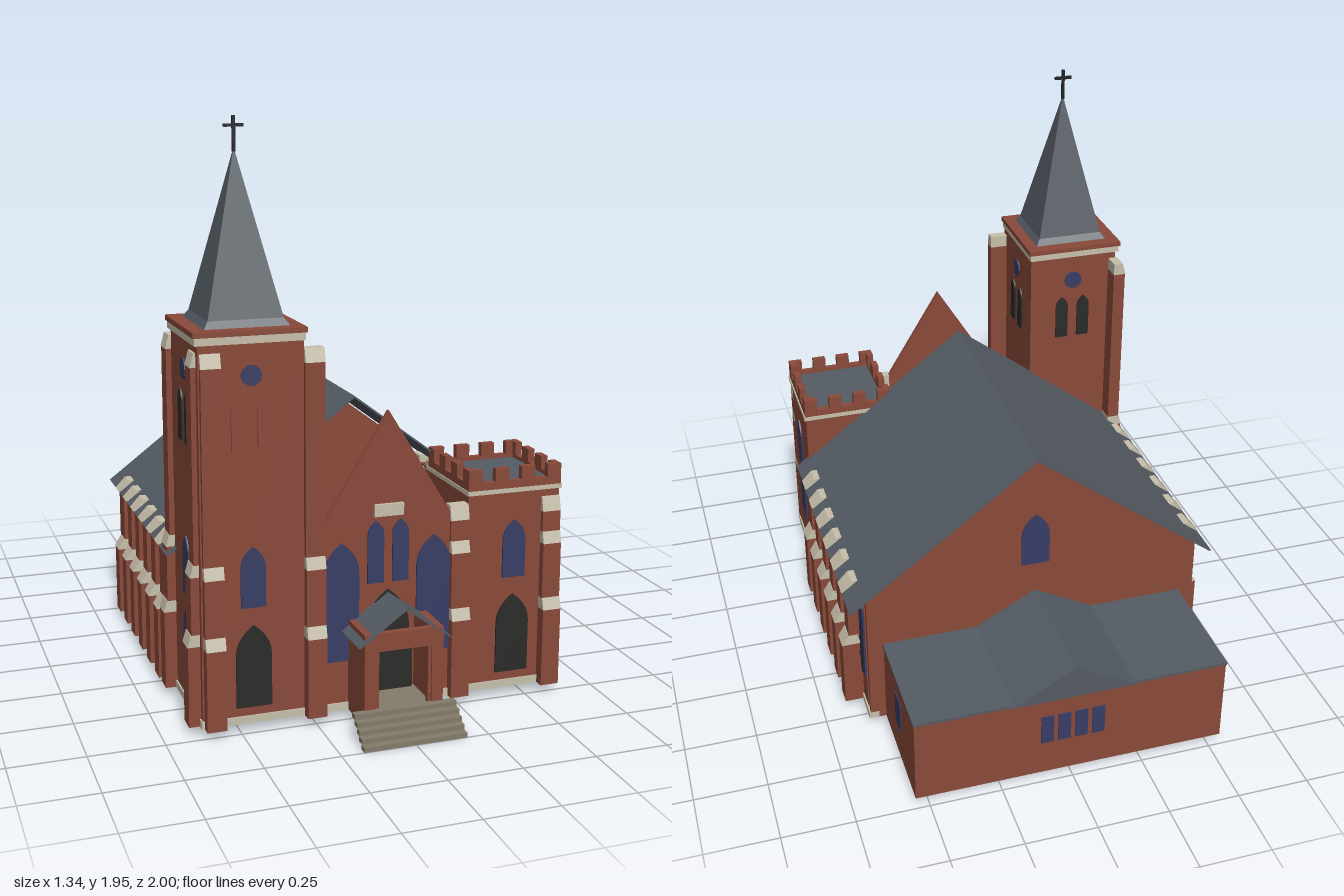
import * as THREE from 'three';

export function createModel() {
  const root = new THREE.Group();
  const mat = (name, color, side = THREE.FrontSide) => {
    const m = new THREE.MeshStandardMaterial({ color, side });
    m.name = name;
    return m;
  };
  const brick = mat('brick', 0x8a4a3a), stone = mat('stone', 0xc8c0ac);
  const slate = mat('slate', 0x555c64, THREE.DoubleSide), glass = mat('blueGlass', 0x383e66);
  const dark = mat('darkWood', 0x2b2b29), stepMat = mat('stepStone', 0x857c6a), iron = mat('iron', 0x222326);

  const add = (name, geo, m) => {
    const mesh = new THREE.Mesh(geo, m);
    mesh.name = name;
    root.add(mesh);
    return mesh;
  };
  const box = (name, m, x0, x1, y0, y1, z0, z1) => {
    const g = new THREE.BoxGeometry(x1 - x0, y1 - y0, z1 - z0);
    g.translate((x0 + x1) / 2, (y0 + y1) / 2, (z0 + z1) / 2);
    return add(name, g, m);
  };
  const poly = pts => new THREE.Shape(pts.map(p => new THREE.Vector2(...p)));
  const slab = (shape, depth) => new THREE.ExtrudeGeometry(shape, { depth, bevelEnabled: false, curveSegments: 5 });

  // Pointed arch outline, centred on x = cx
  const archShape = (cx, w, y0, y1) => {
    const h = w / 2, spring = y1 - w * 0.85, s = new THREE.Shape();
    s.moveTo(cx - h, y0);
    s.lineTo(cx + h, y0);
    s.lineTo(cx + h, spring);
    s.quadraticCurveTo(cx + h, spring + w * 0.5, cx, y1);
    s.quadraticCurveTo(cx - h, spring + w * 0.5, cx - h, spring);
    return s;
  };
  // Thin plate on a wall; turn is the direction it faces (0 = front, quarter turns to +x)
  const plate = (name, m, shape, x, z, turn) => {
    const mesh = add(name, slab(shape, 0.006), m);
    mesh.position.set(x, 0, z);
    mesh.rotation.y = turn;
    return mesh;
  };
  const Q = Math.PI / 2;
  const arch = (name, m, w, y0, y1, x, z, turn) => plate(name, m, archShape(0, w, y0, y1), x, z, turn);

  // Stepped buttress made of tiers [material, y0, y1, depth at y0, depth at y1]
  const buttress = (x, z, turn, tiers, w = 0.065) => {
    for (const [m, y0, y1, d0, d1] of tiers) {
      const g = slab(poly([[-0.03, y0], [d0, y0], [d1, y1], [-0.03, y1]]), w);
      g.translate(0, 0, -w / 2);
      g.rotateY(turn - Q);
      g.translate(x, 0, z);
      add(m === stone ? 'buttressStone' : 'buttress', g, m);
    }
  };
  const tiers = (top, cap) => [
    [brick, 0.03, 0.30, 0.038, 0.038], [stone, 0.30, 0.34, 0.040, 0.028],
    [brick, 0.34, 0.53, 0.026, 0.026], [stone, 0.53, 0.57, 0.028, 0.017],
    [brick, 0.57, top, 0.015, 0.015], [stone, top, cap, 0.017, 0.005]];

  // Bell tower
  const tx = -0.455, tz = 0.56;
  box('bellTower', brick, -0.625, -0.285, 0.03, 1.27, 0.39, 0.735);
  box('bellTowerBase', stone, -0.63, -0.28, 0.03, 0.055, 0.385, 0.74);
  box('bellTowerStoneBand', stone, -0.635, -0.28, 1.27, 1.295, 0.38, 0.74);
  box('bellTowerCornice', brick, -0.64, -0.275, 1.295, 1.312, 0.375, 0.745);
  for (const x of [-0.587, -0.252]) buttress(x, 0.735, 0, tiers(1.2, 1.245));
  for (const z of [0.682, 0.352]) buttress(-0.627, z, -Q, tiers(1.2, 1.245));

  // Spire with a flared foot, and cross
  const spire = (name, r0, r1, y0, y1) => {
    const g = new THREE.CylinderGeometry(r1 * Math.SQRT2, r0 * Math.SQRT2, y1 - y0, 4).toNonIndexed();
    g.rotateY(Math.PI / 4);
    g.computeVertexNormals();
    g.translate(tx, (y0 + y1) / 2, tz);
    add(name, g, slate);
  };
  spire('spireFoot', 0.138, 0.122, 1.312, 1.335);
  spire('spire', 0.122, 0.001, 1.335, 1.85);
  box('crossPost', iron, tx - 0.005, tx + 0.005, 1.84, 1.95, tz - 0.005, tz + 0.005);
  box('crossArm', iron, tx - 0.032, tx + 0.032, 1.915, 1.925, tz - 0.005, tz + 0.005);

  // Belfry openings, round windows and lower windows on the faces of the bell tower
  for (const [x, z, turn] of [[tx, 0.735, 0], [-0.285, tz, Q], [-0.625, tz, -Q], [tx, 0.39, Math.PI]]) {
    for (const s of [-0.043, 0.043]) {
      const open = archShape(s, 0.048, 0.93, 1.1);
      plate('belfryOpening', turn === 0 ? brick : dark, open, x, z, turn);
    }
    const disc = new THREE.Shape();
    disc.absarc(0, 1.17, 0.034, 0, Math.PI * 2);
    plate('roundWindow', glass, disc, x, z, turn);
  }
  arch('towerSideWindow', glass, 0.08, 0.42, 0.62, -0.625, tz, -Q);
  arch('towerSideWindow', glass, 0.09, 0.18, 0.375, -0.625, tz, -Q);

  // Battlemented tower
  box('lowTower', brick, 0.285, 0.615, 0.03, 0.715, 0.395, 0.73);
  box('lowTowerBase', stone, 0.28, 0.62, 0.03, 0.055, 0.39, 0.735);
  box('lowTowerStoneBand', stone, 0.28, 0.622, 0.715, 0.73, 0.387, 0.737);
  box('lowTowerRoof', slate, 0.30, 0.60, 0.73, 0.742, 0.41, 0.715);
  for (const [a, b] of [[0.283, 0.305], [0.596, 0.618]]) box('parapet', brick, a, b, 0.73, 0.755, 0.39, 0.735);
  for (const [a, b] of [[0.39, 0.412], [0.713, 0.735]]) box('parapet', brick, 0.283, 0.618, 0.73, 0.755, a, b);
  for (let i = 0; i < 4; i++) {
    const u = 0.283 + i * 0.0953, v = 0.39 + i * 0.0985;
    for (const z of [0.39, 0.711]) box('merlon', brick, u, u + 0.049, 0.755, 0.8, z, z + 0.024);
    for (const x of [0.283, 0.594]) box('merlon', brick, x, x + 0.024, 0.755, 0.8, v, v + 0.049);
  }
  for (const x of [0.25, 0.583]) buttress(x, 0.73, 0, tiers(0.64, 0.69));
  arch('lowTowerSideWindow', glass, 0.08, 0.42, 0.62, 0.615, 0.565, Q);
  arch('lowTowerSideWindow', glass, 0.09, 0.18, 0.375, 0.615, 0.565, Q);

  // Tower doors and the windows over them
  for (const [x, z] of [[tx, 0.735], [0.452, 0.73]]) {
    arch('towerDoor', dark, 0.118, 0.085, 0.36, x, z, 0);
    arch('towerFrontWindow', glass, 0.082, 0.42, 0.62, x, z, 0);
  }

  // Front wall with steep gable
  const facade = slab(poly([[-0.285, 0.03], [0.285, 0.03], [0.285, 0.64], [0.225, 0.66], [0, 1.025], [-0.225, 0.66], [-0.285, 0.64]]), 0.02);
  facade.translate(0, 0, 0.715);
  add('frontGable', facade, brick);
  box('frontGableBase', stone, -0.285, 0.285, 0.03, 0.055, 0.71, 0.74);
  for (const s of [-1, 1]) {
    arch('largeFrontWindow', glass, 0.12, 0.2, 0.6, s * 0.16, 0.735, 0);
    arch('smallFrontWindow', glass, 0.056, 0.455, 0.665, s * 0.043, 0.735, 0);
    arch('largeInnerWindow', glass, 0.12, 0.2, 0.6, s * 0.16, 0.715, Math.PI);
  }
  arch('mainDoorArch', dark, 0.15, 0.085, 0.43, 0, 0.735, 0);
  box('gableStone', stone, -0.05, 0.05, 0.68, 0.72, 0.73, 0.748);

  // Porch: walls, doorway, gabled roof and steps
  for (const s of [-1, 1]) {
    box('porchWall', brick, s * 0.115 - 0.02, s * 0.115 + 0.02, 0.03, 0.34, 0.735, 0.89);
    box('porchPost', brick, s * 0.09 - 0.006, s * 0.09 + 0.006, 0.06, 0.28, 0.87, 0.885);
  }
  box('porchLintel', brick, -0.096, 0.096, 0.28, 0.34, 0.865, 0.89);
  box('porchDoor', dark, -0.084, 0.084, 0.085, 0.28, 0.74, 0.75);
  box('porchFloor', stepMat, -0.1, 0.1, 0.03, 0.085, 0.735, 0.895);
  for (let i = 0; i < 5; i++) {
    const z = 1 - i * 0.022;
    box('step', stepMat, -0.175, 0.175, i * 0.018, i * 0.018 + 0.016, z - 0.026, z);
  }

  // Gabled roof as two thin slopes with the ridge along z
  const gableRoof = (name, half, eave, ridge, z0, z1, t) => {
    const g = slab(poly([[-half, eave], [0, ridge], [half, eave], [half - t, eave], [0, ridge - t], [-half + t, eave]]), z1 - z0);
    g.translate(0, 0, z0);
    add(name, g, slate);
  };
  gableRoof('porchRoof', 0.16, 0.305, 0.42, 0.735, 0.905, 0.006);
  gableRoof('naveRoof', 0.66, 0.507, 1.005, -0.575, 0.41, 0.008);

  // Nave side walls with windows between buttresses
  const naveTiers = [
    [brick, 0.03, 0.28, 0.068, 0.068], [stone, 0.28, 0.32, 0.07, 0.046],
    [brick, 0.32, 0.51, 0.044, 0.044], [stone, 0.51, 0.55, 0.062, 0.025]];
  for (const s of [-1, 1]) {
    const a = Math.min(s * 0.575, s * 0.6), b = Math.max(s * 0.575, s * 0.6);
    box('naveWall', brick, a, b, 0.03, 0.52, -0.52, 0.395);
    box('naveBase', stone, a - 0.005, b + 0.005, 0.03, 0.055, -0.56, 0.39);
    for (let i = 0; i < 6; i++) {
      const zb = 0.26 - i * 0.135, zw = zb - 0.067;
      buttress(s * 0.6, zb, s * Q, naveTiers);
      arch('naveWindow', glass, 0.068, 0.18, 0.51, s * 0.6, zw, s * Q);
      arch('naveInnerSurround', stone, 0.084, 0.17, 0.515, s * 0.576, zw, -s * Q);
      arch('naveInnerWindow', glass, 0.068, 0.18, 0.505, s * 0.573, zw, -s * Q);
      // Window bars
      const x = s * 0.608;
      box('windowBar', iron, x - 0.002, x + 0.002, 0.18, 0.39, zw - 0.003, zw + 0.003);
      for (const y of [0.245, 0.315]) box('windowBar', iron, x - 0.002, x + 0.002, y - 0.003, y + 0.003, zw - 0.034, zw + 0.034);
    }
  }

  // Rear gable wall
  const rear = slab(poly([[-0.6, 0.03], [0.6, 0.03], [0.6, 0.54], [0, 0.99], [-0.6, 0.54]]), 0.02);
  rear.translate(0, 0, -0.56);
  add('rearGable', rear, brick);
  arch('rearWindow', glass, 0.1, 0.58, 0.78, 0, -0.56, Math.PI);

  // Rear annex with flat roof and central gable
  box('annexEndWall', brick, 0.525, 0.545, 0.03, 0.345, -0.985, -0.545);
  box('annexEndWall', brick, -0.545, -0.525, 0.03, 0.345, -0.985, -0.545);
  box('annexBackWall', brick, -0.545, 0.545, 0.03, 0.345, -0.985, -0.965);
  box('annexRoof', slate, -0.548, 0.548, 0.339, 0.349, -0.988, -0.56);
  const annexGable = slab(poly([[-0.22, 0.345], [0.22, 0.345], [0, 0.465]]), 0.44);
  annexGable.translate(0, 0, -1);
  add('annexGable', annexGable, slate);
  for (const s of [-1, 1]) box('annexEndWindow', glass, s * 0.545 - 0.004, s * 0.545 + 0.004, 0.16, 0.28, -0.805, -0.73);
  for (let i = 0; i < 4; i++) {
    const x = -0.09 + i * 0.06;
    box('annexBackWindow', glass, x - 0.022, x + 0.022, 0.16, 0.27, -0.989, -0.981);
  }
  return root;
}
